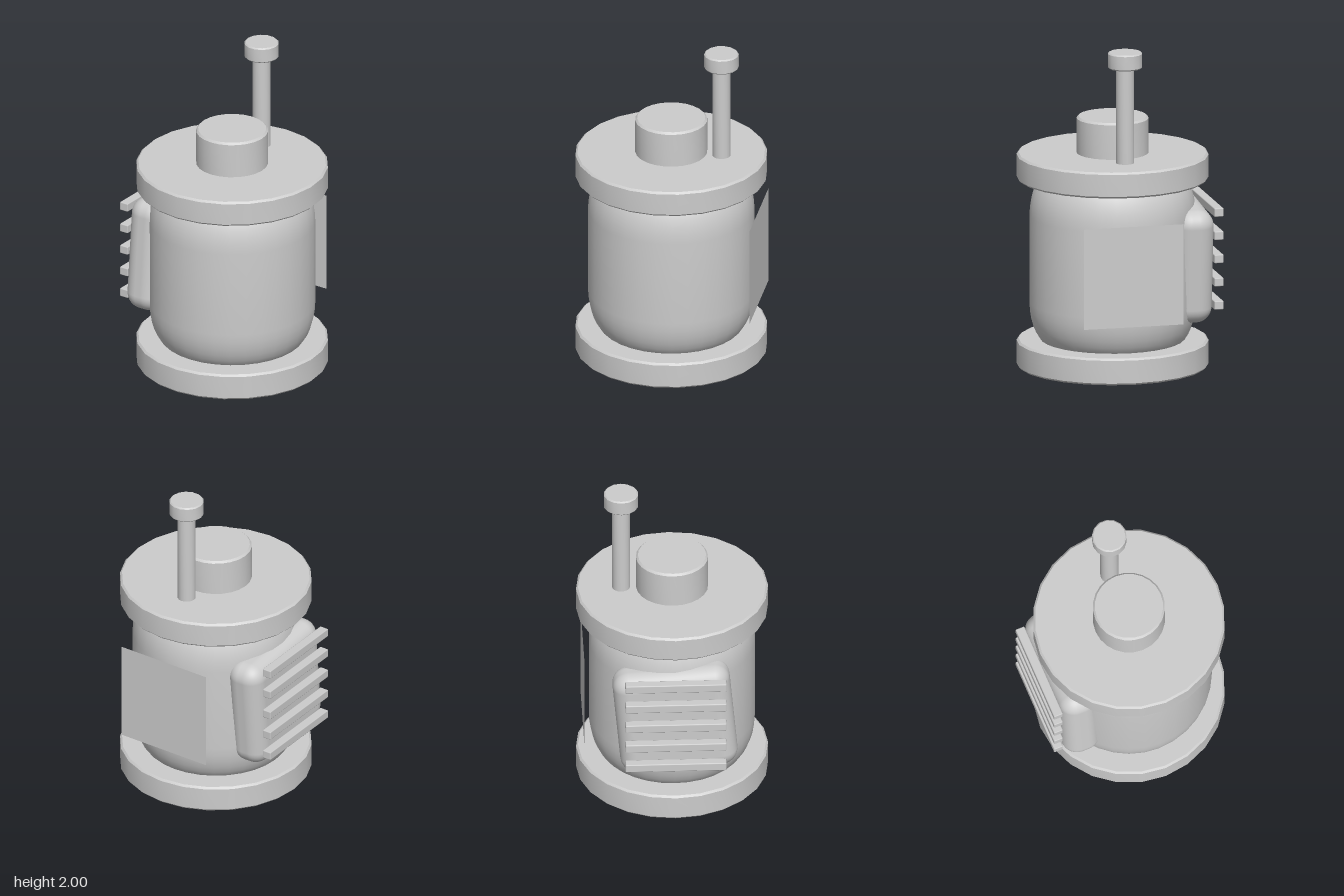
import * as THREE from 'three';
import { toCreasedNormals } from 'three/addons/utils/BufferGeometryUtils.js';
import { RoundedBoxGeometry } from 'three/addons/geometries/RoundedBoxGeometry.js';

const AXIS_Z = 0.015;

export function createModel() {
  const group = new THREE.Group();
  const grey = new THREE.MeshStandardMaterial({ color: 0xcccccc });
  grey.name = 'plain grey';
  const greySheet = grey; // one colour throughout
  greySheet.side = THREE.DoubleSide;

  function add(name, geometry, x, y, z) {
    const mesh = new THREE.Mesh(geometry, grey);
    mesh.name = name;
    mesh.position.set(x, y, z);
    group.add(mesh);
    return mesh;
  }

  // Revolved part from [radius, height] points, listed bottom to top
  function lathe(points, sides) {
    const profile = points.map(([r, y]) => new THREE.Vector2(r, y));
    return toCreasedNormals(new THREE.LatheGeometry(profile, sides), 0.5);
  }

  // Disc with small bevels on both rims
  function disc(name, radius, bottom, top, sides, x = 0, bevel = 0.012) {
    const h = top - bottom;
    add(name, lathe([
      [0, 0], [radius - bevel, 0], [radius, bevel],
      [radius, h - bevel], [radius - bevel, h], [0, h],
    ], sides), x, bottom, AXIS_Z);
  }

  // Flanges and top hub
  disc('baseFlange', 0.58, 0, 0.165, 24);
  disc('topFlange', 0.58, 1.155, 1.315, 24);
  disc('topHub', 0.218, 1.3, 1.54, 24);

  // Barrel with rounded shoulders, its ends hidden inside the flanges
  const profile = [];
  const R = 0.502, rx = 0.14, ry = 0.27;
  for (let i = 0; i <= 8; i++) {
    const a = (i / 8) * Math.PI / 2;
    profile.push([R - rx + rx * Math.sin(a), 0.125 + ry * (1 - Math.cos(a))]);
  }
  for (let i = 0; i <= 8; i++) {
    const a = (i / 8) * Math.PI / 2;
    profile.push([R - rx + rx * Math.cos(a), 0.93 + ry * Math.sin(a)]);
  }
  add('barrel', lathe(profile, 32), 0, 0, AXIS_Z);

  // Vent pipe with its cap
  disc('pipe', 0.055, 1.3, 1.92, 16, 0.308, 0.004);
  disc('pipeCap', 0.105, 1.902, 2, 14, 0.308, 0.008);

  // Slightly tilted housing on the back
  const housing = add('rearHousing', new RoundedBoxGeometry(0.71, 0.71, 0.24, 5, 0.1), 0, 0.665, -0.42);
  housing.rotation.z = -0.09;

  // Row of grille bars on the housing
  for (let i = 0; i < 5; i++) {
    add('grilleBar', new RoundedBoxGeometry(0.61, 0.053, 0.058, 1, 0.006), 0, 0.4 + i * 0.1435, -0.571);
  }

  // Thin square panel standing off the left side
  const panel = add('sidePanel', new THREE.PlaneGeometry(0.62, 0.62), 0.54, 0.66, 0.02);
  panel.rotation.y = Math.PI / 2;

  return group;
}
